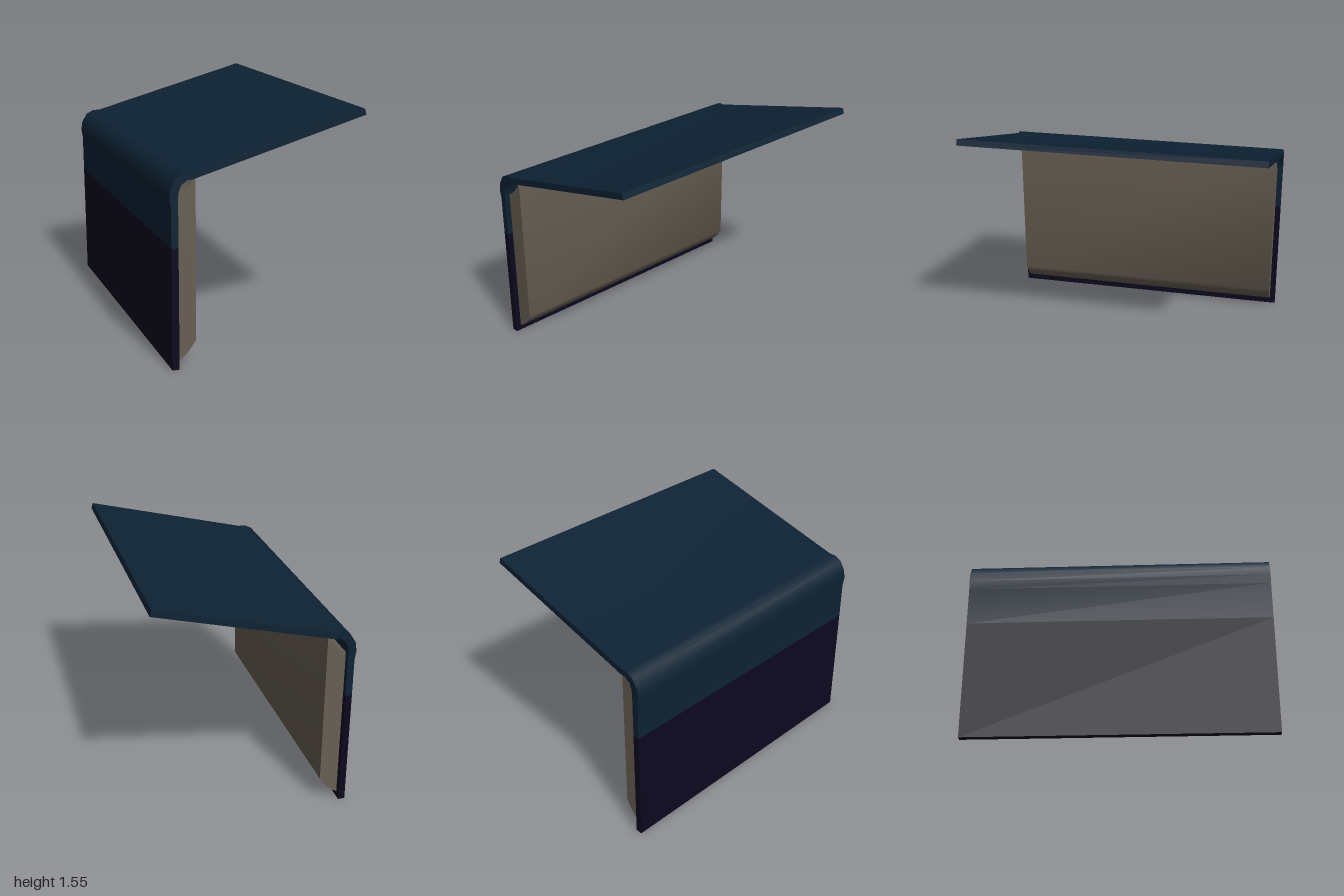
import * as THREE from 'three';
import { toCreasedNormals } from 'three/addons/utils/BufferGeometryUtils.js';

const navy = new THREE.MeshStandardMaterial({ name: 'navy', color: 0x0d2234 });
const darkIndigo = new THREE.MeshStandardMaterial({ name: 'dark indigo', color: 0x0b081e });
const taupe = new THREE.MeshStandardMaterial({ name: 'taupe', color: 0x685f53 });

// Extrudes an x/y profile along z, centred, keeping sharp edges crisp
function prism(name, points, halfDepth, material) {
  const shape = new THREE.Shape(points.map(([x, y]) => new THREE.Vector2(x, y)));
  const solid = new THREE.ExtrudeGeometry(shape, { depth: 2 * halfDepth, bevelEnabled: false });
  solid.translate(0, 0, -halfDepth);
  const mesh = new THREE.Mesh(toCreasedNormals(solid, 0.75), material);
  mesh.name = name;
  return mesh;
}

export function createModel() {
  const model = new THREE.Group();
  model.name = 'foldedCover';
  const bandTop = 0.795;

  // Lower band of the upright wall
  model.add(prism('lowerWall', [[-0.645, 0], [-0.6, 0], [-0.6, bandTop], [-0.645, bandTop]], 1, darkIndigo));

  // Upper wall, rounded bend and sloping lid in one sheet
  model.add(prism('bentCover', [
    [-0.645, bandTop], [-0.6, bandTop], [-0.6, 1.09],
    [-0.597, 1.14], [-0.58, 1.18], [-0.543, 1.21], [-0.506, 1.21], [-0.477, 1.218],
    [0.65, 1.508], [0.638, 1.547],
    [-0.51, 1.255], [-0.555, 1.256], [-0.608, 1.23],
    [-0.645, 1.17], [-0.654, 1.11], [-0.645, 1.05],
  ], 1, navy));

  // Inner block, with the same curved slope at its foot and top
  const slope = [[-0.6, 0.04], [-0.565, 0.058], [-0.535, 0.083], [-0.503, 0.122], [-0.475, 0.164]];
  const top = slope.map(([x, y]) => [x, y + 1.051]).reverse();
  model.add(prism('innerBlock', [...slope, ...top], 0.963, taupe));

  // Thin lining under the lid
  const under = (x) => 1.218 + (x + 0.477) * 0.2573;
  const [x0, x1, t] = [-0.475, 0.605, 0.004];
  model.add(prism('lidLining', [
    [x0, under(x0) - t], [x1, under(x1) - t], [x1, under(x1)], [x0, under(x0)],
  ], 0.953, taupe));

  return model;
}
